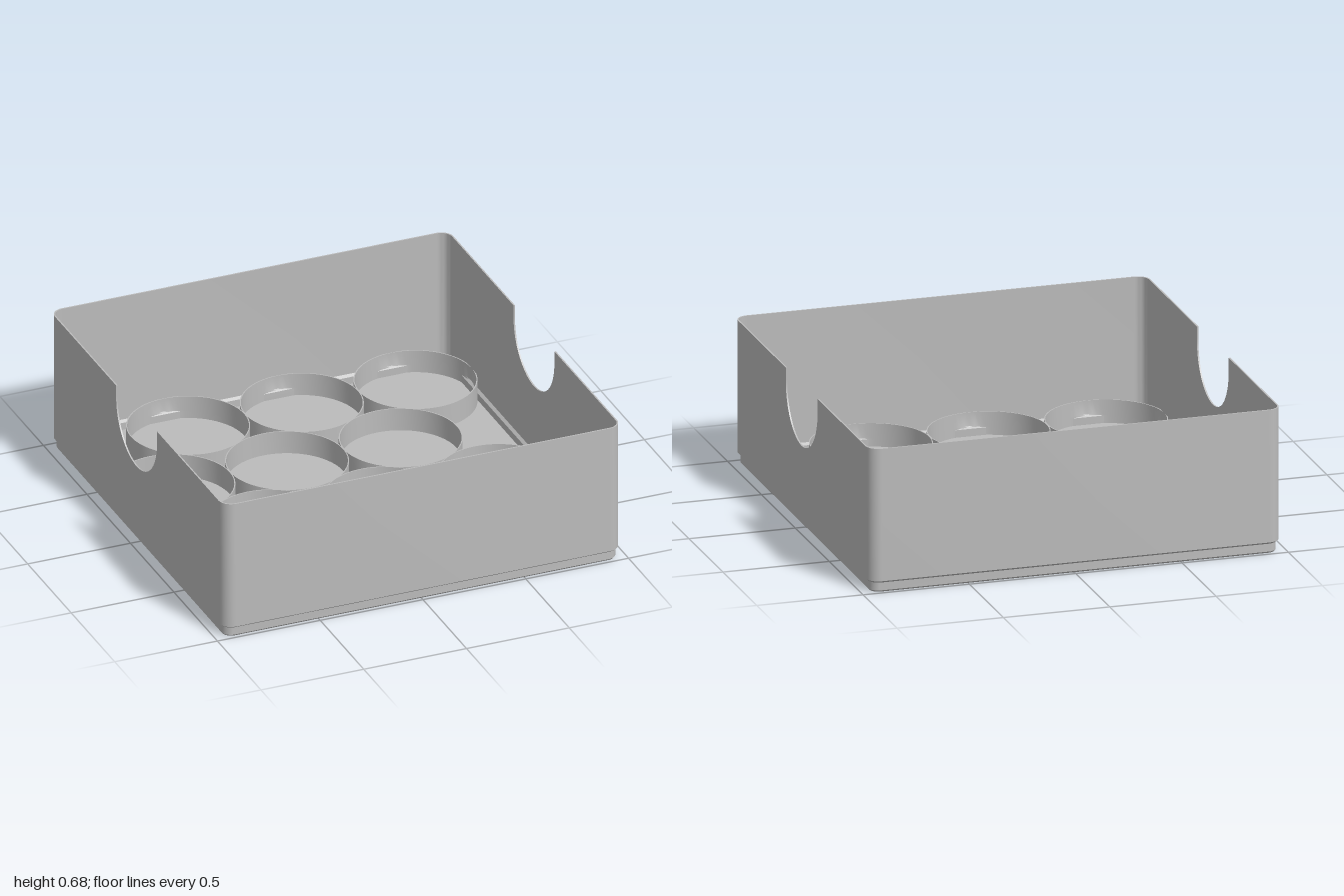
import * as THREE from 'three';
import { toCreasedNormals } from 'three/addons/utils/BufferGeometryUtils.js';

const HX = 0.97, HZ = 1, R = 0.06;          // half sizes and corner radius
const TOP = 0.68, STEP = 0.055, WALL = 0.007;
const NOTCH = 0.235, NOTCH_Y = 0.62;        // finger notch radius and arc centre

const grey = new THREE.MeshStandardMaterial({ color: 0xbcbcbc });
grey.name = 'grey plastic';

function add(group, name, geometry) {
  const mesh = new THREE.Mesh(toCreasedNormals(geometry, 0.5), grey);
  mesh.name = name;
  group.add(mesh);
  return mesh;
}

// Rounded rectangle seen from above, shrunk by an inset
function outline(inset) {
  const points = [];
  const corners = [[1, 1], [-1, 1], [-1, -1], [1, -1]];
  corners.forEach(([sx, sz], c) => {
    for (let i = 0; i <= 8; i++) {
      const a = (c + i / 8) * Math.PI / 2;
      points.push([sx * (HX - R) + (R - inset) * Math.cos(a), sz * (HZ - R) + (R - inset) * Math.sin(a)]);
    }
  });
  return points;
}

// Stepped tray: outlines lofted through [inset, y, scale]
function trayGeometry() {
  const profile = [
    [0.02, 0, 0], [0.02, 0, 1], [0.013, 0.008, 1], [0.013, 0.045, 1], [0, STEP, 1],
    [WALL, STEP, 1], [0.02, 0.045, 1], [0.02, 0.01, 1], [0.02, 0.01, 0],
  ];
  const position = [], index = [];
  const n = outline(0).length;
  profile.forEach(([inset, y, s]) => outline(inset).forEach(([x, z]) => position.push(x * s, y, z * s)));
  for (let j = 0; j < profile.length - 1; j++) {
    for (let i = 0; i < n; i++) {
      const a = j * n + i, b = j * n + (i + 1) % n;
      if (profile[j][2]) index.push(a, a + n, b);
      if (profile[j + 1][2]) index.push(b, a + n, b + n);
    }
  }
  const g = new THREE.BufferGeometry();
  g.setAttribute('position', new THREE.Float32BufferAttribute(position, 3));
  g.setIndex(index);
  return g;
}

// U-shaped half of the wall, from one notch round the end to the other
function endWallGeometry() {
  const half = (inset) => [
    [HX - inset, NOTCH],
    ...outline(inset).slice(0, 18),
    [-HX + inset, NOTCH],
  ].map(([x, z]) => new THREE.Vector2(x, -z));
  const shape = new THREE.Shape([...half(0), ...half(WALL).reverse()]);
  const g = new THREE.ExtrudeGeometry(shape, { depth: TOP - STEP, bevelEnabled: false });
  return g.rotateX(-Math.PI / 2).translate(0, STEP, 0);
}

// Side wall panel below the finger notch
function notchGeometry() {
  const shape = new THREE.Shape();
  shape.moveTo(-NOTCH, STEP);
  shape.lineTo(NOTCH, STEP);
  shape.lineTo(NOTCH, NOTCH_Y);
  shape.absarc(0, NOTCH_Y, NOTCH, 0, -Math.PI, true);
  shape.closePath();
  const g = new THREE.ExtrudeGeometry(shape, { depth: WALL, bevelEnabled: false, curveSegments: 40 });
  return g.rotateY(Math.PI / 2).translate(HX - WALL, 0, 0);
}

// Round holder, trimmed where it meets the box walls
function holderGeometry(cx, cz) {
  const ro = 0.278, ri = 0.273, y0 = 0.008, y1 = 0.12;
  const profile = [
    [ri, y0], [ro, y0], [ro, 0.045], [ro, STEP], [ro, y1],
    [ri, y1], [ri, STEP], [ri, 0.045], [ri, y0],
  ].map(([r, y]) => new THREE.Vector2(r, y));
  const g = new THREE.LatheGeometry(profile, 72).translate(cx, 0, cz);
  const p = g.attributes.position;
  for (let i = 0; i < p.count; i++) {
    const inset = p.getY(i) < 0.05 ? 0.016 : 0.003;
    p.setX(i, THREE.MathUtils.clamp(p.getX(i), inset - HX, HX - inset));
    p.setZ(i, THREE.MathUtils.clamp(p.getZ(i), inset - HZ, HZ - inset));
  }
  return g;
}

export function createModel() {
  const model = new THREE.Group();
  model.name = 'storageTray';

  add(model, 'steppedBase', trayGeometry());

  // Walls with a notch on the left and right
  add(model, 'frontWall', endWallGeometry());
  add(model, 'backWall', endWallGeometry()).rotation.y = Math.PI;
  add(model, 'leftNotchPanel', notchGeometry());
  add(model, 'rightNotchPanel', notchGeometry()).rotation.y = Math.PI;

  // Four staggered rows of three holders
  const holders = new THREE.Group();
  holders.name = 'holders';
  for (let row = 0; row < 4; row++) {
    const side = row % 2 ? -1 : 1;
    for (let i = 0; i < 3; i++) {
      add(holders, 'holderRing', holderGeometry(side * (0.69 - i * 0.553), -0.717 + row * 0.478));
    }
  }
  model.add(holders);
  return model;
}
